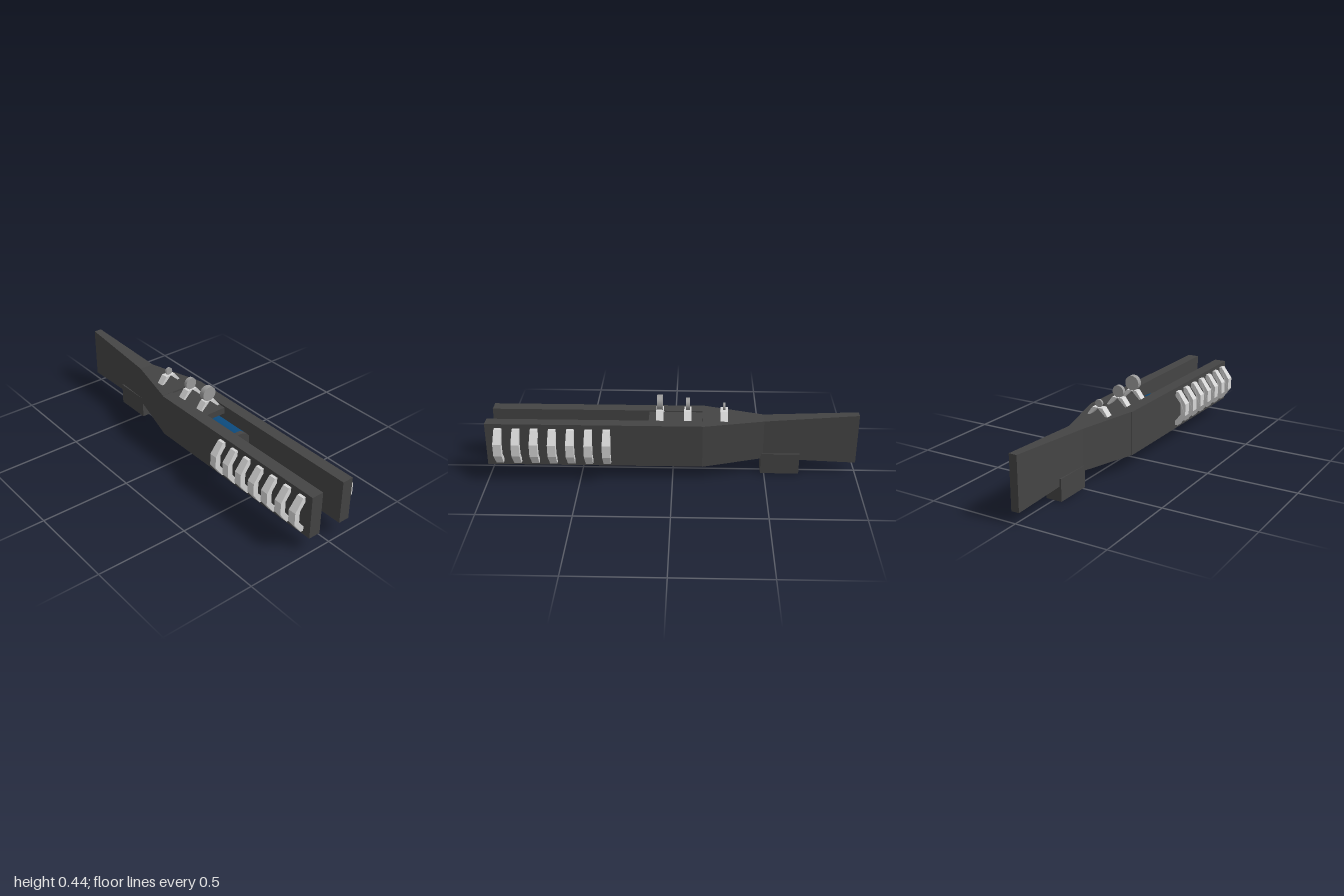
import * as THREE from 'three';

export function createModel() {
  const model = new THREE.Group();
  const mat = (name, color) => {
    const m = new THREE.MeshStandardMaterial({ color });
    m.name = name;
    return m;
  };
  const dark = mat('dark gunmetal', 0x444444);
  const light = mat('light grey', 0xd6d6d6);
  const mid = mat('mid grey', 0x9c9c9c);
  const blue = mat('deep blue', 0x0c4a7c);

  const add = (name, geometry, material, parent = model) => {
    const mesh = new THREE.Mesh(geometry, material);
    mesh.name = name;
    parent.add(mesh);
    return mesh;
  };
  // Box given by its limits on each axis
  const block = (name, x0, x1, y0, y1, z0, z1, material) => {
    const mesh = add(name, new THREE.BoxGeometry(x1 - x0, y1 - y0, z1 - z0), material);
    mesh.position.set((x0 + x1) / 2, (y0 + y1) / 2, (z0 + z1) / 2);
    return mesh;
  };
  // Outline in x and y, extruded about z = 0
  const plate = (points, depth) => {
    const shape = new THREE.Shape(points.map(([x, y]) => new THREE.Vector2(x, y)));
    const g = new THREE.ExtrudeGeometry(shape, { depth, bevelEnabled: false });
    return g.translate(0, 0, -depth / 2);
  };

  // Two long front rails
  block('leftRail', 0.063, 0.126, 0.083, 0.326, -0.16, 1, dark);
  block('rightRail', -0.131, -0.063, 0.081, 0.323, -0.16, 0.992, dark);

  // Tapering rear body and stock: z, half width, bottom, top
  const sections = [
    [-1, 0.022, 0.06, 0.347],
    [-0.49, 0.042, 0.092, 0.317],
    [-0.16, 0.128, 0.082, 0.325],
  ];
  let stock = new THREE.BoxGeometry(2, 1, 2, 1, 1, 2);
  const p = stock.attributes.position;
  for (let i = 0; i < p.count; i++) {
    const [z, w, y0, y1] = sections[Math.round(p.getZ(i)) + 1];
    p.setXYZ(i, p.getX(i) * w - 0.002, p.getY(i) > 0 ? y1 : y0, z);
  }
  stock = stock.toNonIndexed();
  stock.computeVertexNormals();
  add('stock', stock, dark);
  block('gripBlock', -0.045, 0.045, 0, 0.12, -0.69, -0.48, dark);

  // Chamber between the rails
  block('chamberCover', -0.063, 0.063, 0.28, 0.316, -0.16, 0.13, dark);
  block('chamberBackPlate', -0.045, 0.045, 0.09, 0.28, -0.16, -0.152, light);
  const core = add('coreCylinder', new THREE.CylinderGeometry(0.075, 0.075, 0.41, 40), blue);
  core.rotation.x = Math.PI / 2;
  core.position.set(0, 0.201, 0.1);
  const cap = add('coreCap', new THREE.CylinderGeometry(0.075, 0.075, 0.03, 40), dark);
  cap.rotation.x = Math.PI / 2;
  cap.position.set(0, 0.201, 0.318);

  // Seven bent ribs along each rail
  const ribOutline = [
    [0.122, 0.302], [0.145, 0.302], [0.193, 0.236], [0.193, 0.168], [0.145, 0.102],
    [0.122, 0.102], [0.122, 0.12], [0.163, 0.17], [0.163, 0.234], [0.122, 0.282],
  ];
  const ribShape = plate(ribOutline, 0.044);
  // Narrow the ribs slightly at both ends
  const rp = ribShape.attributes.position;
  for (let i = 0; i < rp.count; i++) {
    if (Math.abs(rp.getY(i) - 0.202) > 0.07) rp.setZ(i, rp.getZ(i) * 0.88);
  }
  ribShape.computeVertexNormals();
  for (let i = 0; i < 7; i++) {
    const z = 0.35 + i * 0.0965;
    add('leftRib', ribShape, light).position.set(0, 0, z);
    const r = add('rightRib', ribShape, light);
    r.position.set(-0.002, 0, z);
    r.scale.x = -1;
  }

  // Three round sights, each on two slanted legs
  const leg = [[0.065, 0.318], [0.03, 0.365], [0, 0.365], [0.052, 0.316]];
  for (const [z, radius, thick] of [[0.07, 0.041, 0.03], [-0.08, 0.033, 0.02], [-0.275, 0.021, 0.012]]) {
    const sight = new THREE.Group();
    sight.name = 'sight';
    sight.position.set(-0.004, 0, z);
    const legShape = plate(leg, 0.04);
    add('leftLeg', legShape, light, sight);
    add('rightLeg', legShape, light, sight).scale.x = -1;
    const disc = add('disc', new THREE.CylinderGeometry(radius, radius, thick, 32), mid, sight);
    disc.rotation.x = Math.PI / 2;
    disc.position.y = 0.363 + radius;
    model.add(sight);
  }
  return model;
}
